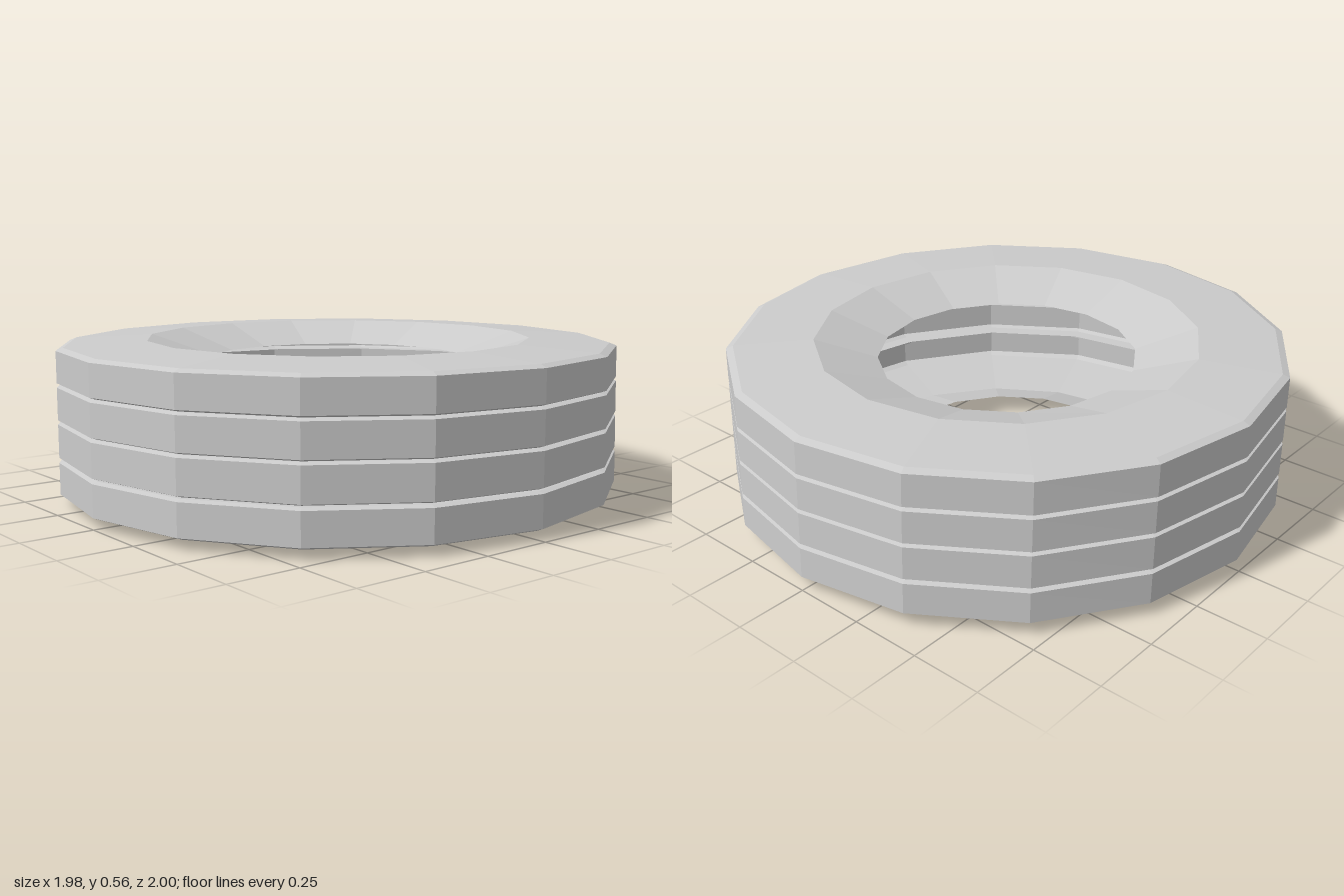
import * as THREE from 'three';

const SIDES = 16;

// Cross-section points as [radius, height]
const lowerWall = [[0.465, 0.08], [0.69, 0.015], [0.975, 0.03]];
const upperWall = [[0.975, 0.545], [0.69, 0.56], [0.465, 0.485]];
const ribs = [[0.04, 0.15], [0.168, 0.283], [0.298, 0.41], [0.425, 0.535]];

// Four raised ribs with narrow grooves cut between them
function treadProfile() {
  const points = [lowerWall[2]];
  ribs.forEach(([bottom, top], i) => {
    if (i > 0) points.push([0.925, bottom - 0.007], [0.98, bottom - 0.007]);
    points.push([1, bottom], [1, top]);
    if (i < ribs.length - 1) points.push([0.98, top + 0.006], [0.925, top + 0.006]);
  });
  points.push(upperWall[0]);
  return points;
}

// Slight unevenness: the back leans in at the top and the underside sags at the front
function warp(geometry) {
  const p = geometry.attributes.position;
  for (let i = 0; i < p.count; i++) {
    const y = p.getY(i), z = p.getZ(i);
    const low = Math.max(0, 1 - y / 0.4);
    p.setX(i, p.getX(i) * 0.988);
    p.setY(i, y + low * (z < 0 ? -z * 0.015 : -z * 0.02 * (y < 0.025 ? 1 : 0)));
    if (z < 0) p.setZ(i, z * (1 - 0.02 * y / 0.54));
  }
  geometry.computeVertexNormals();
  return geometry;
}

export function createModel() {
  const group = new THREE.Group();
  group.name = 'tire';
  const material = new THREE.MeshStandardMaterial({
    color: 0xcccccc, flatShading: true, side: THREE.DoubleSide,
  });

  // Hollow shell, open towards the hub
  const parts = { lowerSidewall: lowerWall, tread: treadProfile(), upperSidewall: upperWall };
  for (const [name, profile] of Object.entries(parts)) {
    const points = profile.map(([r, y]) => new THREE.Vector2(r, y));
    const mesh = new THREE.Mesh(warp(new THREE.LatheGeometry(points, SIDES)), material);
    mesh.name = name;
    group.add(mesh);
  }
  return group;
}
